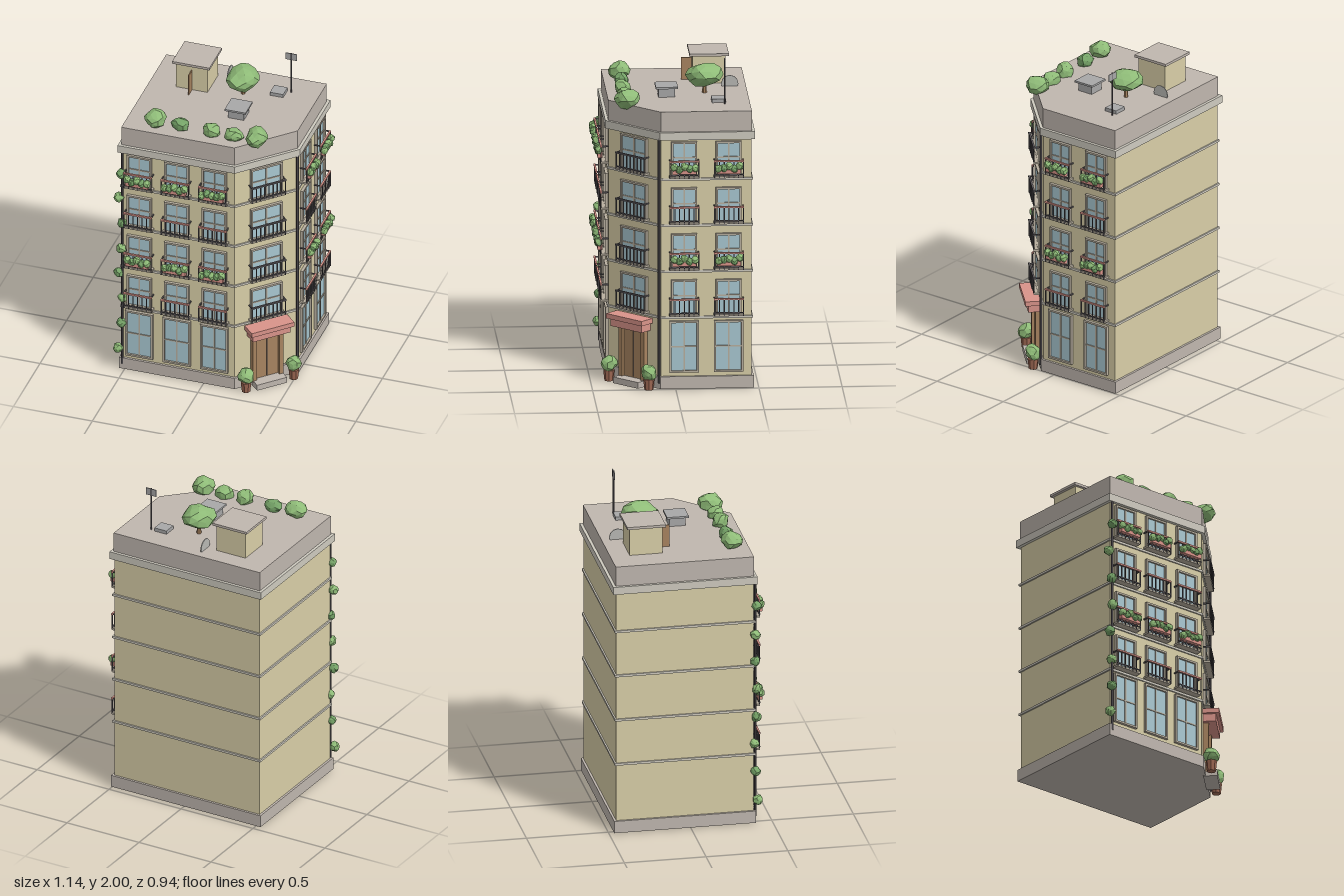
import * as THREE from 'three';

const mat = (color, extra = {}) => new THREE.MeshStandardMaterial({ color, flatShading: true, ...extra });
const M = {
  wall: mat(0xd9cfa8), stone: mat(0xc0b7af), trim: mat(0xcfcbc0), frame: mat(0xb9b0a0), glass: mat(0xa9c8d2),
  iron: mat(0x5c585c), red: mat(0xd9948a), wood: mat(0xa88460), leaf: mat(0x8fbc78), leafDark: mat(0x76a468),
  pot: mat(0xa06a55), metal: mat(0xa8a8a8), metalTwo: mat(0xb8b8b4, { side: THREE.DoubleSide }),
};

function add(parent, name, geo, material, x = 0, y = 0, z = 0) {
  const m = new THREE.Mesh(geo, material);
  m.name = name;
  m.position.set(x, y, z);
  parent.add(m);
  return m;
}
const box = (p, name, material, w, h, d, x, y, z) => add(p, name, new THREE.BoxGeometry(w, h, d), material, x, y, z);
const group = (p, name, x = 0, y = 0, z = 0, ry = 0) => {
  const g = new THREE.Group();
  g.name = name;
  g.position.set(x, y, z);
  g.rotation.y = ry;
  p.add(g);
  return g;
};

// Faceted foliage: icosahedron with each corner pushed in or out by a hash of its direction
function blob(p, name, material, x, y, z, rx, ry = rx, rz = rx, seed = 1) {
  const geo = new THREE.IcosahedronGeometry(1, 1), a = geo.attributes.position, v = new THREE.Vector3();
  for (let i = 0; i < a.count; i++) {
    v.fromBufferAttribute(a, i);
    const n = Math.sin(Math.round(v.x * 50) * 1.3 + Math.round(v.y * 50) * 2.1 + Math.round(v.z * 50) * 3.7 + seed * 5.1);
    v.multiplyScalar(0.98 + 0.11 * n);
    a.setXYZ(i, v.x * rx, v.y * ry, v.z * rz);
  }
  geo.computeVertexNormals();
  return add(p, name, geo, material, x, y, z);
}

// Corner-cut footprint, grown by d on every side and extruded from y0 to y1
const X0 = -0.52, X1 = 0.49, Z0 = -0.455, Z1 = 0.385, CX = 0.192, CZ = 0.087;
function storey(p, name, material, d, y0, y1) {
  const t = d * Math.tan(Math.PI / 8);
  const pts = [[X0 - d, Z0 - d], [X0 - d, Z1 + d], [CX + t, Z1 + d], [X1 + d, CZ + t], [X1 + d, Z0 - d]];
  const shape = new THREE.Shape(pts.map(([x, z]) => new THREE.Vector2(x, -z)));
  const geo = new THREE.ExtrudeGeometry(shape, { depth: y1 - y0, bevelEnabled: false });
  geo.rotateX(-Math.PI / 2);
  return add(p, name, geo, material, 0, y0, 0);
}

// Window on a facade: local +z points out of the wall, y is the bottom edge
function windowUnit(p, x, y, w, h, transom) {
  const g = group(p, 'window', x, y, 0), f = 0.012;
  box(g, 'glass', M.glass, w - f, h - f, 0.008, 0, h / 2, 0.002);
  for (const s of [-1, 1]) box(g, 'windowJamb', M.frame, f, h, 0.024, s * (w - f) / 2, h / 2, 0.006);
  for (const yy of [f / 2, h - f / 2]) box(g, 'windowHead', M.frame, w, f, 0.024, 0, yy, 0.006);
  box(g, 'mullion', M.frame, 0.009, h, 0.014, 0, h / 2, 0.004);
  box(g, 'transom', M.frame, w - f, 0.008, 0.014, 0, h * transom, 0.004);
}

// Railing with spindles, optional planter full of leaves
function balcony(p, x, y, w, railMat, planted, seed) {
  const g = group(p, 'balcony', x, y, 0), h = 0.105, out = 0.043;
  box(g, 'balconySlab', M.frame, w, 0.012, out, 0, 0.004, out / 2);
  box(g, 'topRail', railMat, w, 0.01, 0.011, 0, h, out);
  box(g, 'bottomRail', M.iron, w, 0.007, 0.007, 0, 0.02, out);
  for (const s of [-1, 1]) box(g, 'sideRail', M.iron, 0.007, 0.008, out, s * (w / 2 - 0.004), h, out / 2);
  const n = Math.round(w / 0.03);
  for (let i = 0; i <= n; i++)
    box(g, 'spindle', M.iron, 0.006, h, 0.006, (i / n - 0.5) * (w - 0.008), h / 2, out);
  if (!planted) return;
  box(g, 'planterBox', M.red, w * 0.8, 0.04, 0.028, 0, 0.05, out + 0.006);
  [-0.062, -0.03, 0, 0.03, 0.062].forEach((dx, i) =>
    blob(g, 'planterLeaves', i % 2 ? M.leafDark : M.leaf, dx, 0.068 + 0.01 * Math.sin(i * 2.4 + seed), 0.055,
      0.024, 0.025, 0.025, i + seed));
}

function facade(parent, name, x, z, ry, columns) {
  const g = group(parent, name, x, 0, z, ry);
  columns.forEach((cx, c) => {
    windowUnit(g, cx, 0.105, 0.175, 0.32, 0.5);
    for (let k = 0; k < 4; k++) {
      const y = 0.46 + 0.286 * k;
      windowUnit(g, cx, y, 0.155, 0.22, 0.55);
      balcony(g, cx, y, 0.18, M.red, k % 2 === 1, c + k * 3);
    }
  });
}

function entranceSide(parent) {
  const g = group(parent, 'cornerFacade', (X1 + CX) / 2, 0, (Z1 + CZ) / 2, Math.PI / 4);
  for (let k = 0; k < 4; k++) {
    const y = 0.46 + 0.286 * k;
    windowUnit(g, 0, y, 0.21, 0.22, 0.55);
    balcony(g, 0, y, 0.23, M.iron, false, k);
  }
  // Door with posts, stepped canopy and doorstep
  box(g, 'door', M.wood, 0.15, 0.31, 0.016, 0, 0.195, 0.008);
  box(g, 'doorSeam', M.iron, 0.003, 0.3, 0.004, 0, 0.195, 0.016);
  for (const s of [-1, 1]) box(g, 'doorPost', M.wood, 0.026, 0.32, 0.035, s * 0.088, 0.19, 0.016);
  box(g, 'canopyLower', M.red, 0.25, 0.05, 0.08, 0, 0.375, 0.04);
  box(g, 'canopyTop', M.red, 0.285, 0.03, 0.1, 0, 0.413, 0.05);
  box(g, 'doorstep', M.stone, 0.2, 0.038, 0.085, 0, 0.019, 0.0425);
  // Potted shrubs either side of the door
  for (const s of [-1, 1]) {
    const p = group(g, 'pottedShrub', s * 0.16, 0, 0.055);
    add(p, 'pot', new THREE.CylinderGeometry(0.034, 0.027, 0.066, 8), M.pot, 0, 0.033, 0);
    blob(p, 'shrub', M.leaf, 0, 0.105, 0, 0.05, 0.05, 0.05, s + 3);
  }
}

function roofItems(parent) {
  const r = group(parent, 'roofItems', 0, 1.72, 0);
  // Stair house with its door standing open
  box(r, 'stairHouse', M.wall, 0.2, 0.175, 0.2, -0.255, 0.0875, -0.24);
  box(r, 'stairHouseCap', M.stone, 0.236, 0.016, 0.236, -0.255, 0.182, -0.24);
  box(r, 'stairHouseDoor', M.wood, 0.007, 0.14, 0.065, -0.255, 0.07, -0.11);
  // Vent and hatch
  box(r, 'ventBody', M.metal, 0.1, 0.06, 0.1, 0.1, 0.03, 0.033);
  box(r, 'ventCap', M.metal, 0.133, 0.012, 0.133, 0.1, 0.062, 0.033);
  box(r, 'hatch', M.metal, 0.084, 0.024, 0.084, 0.252, 0.012, -0.272);
  // Antenna
  add(r, 'antennaPole', new THREE.CylinderGeometry(0.005, 0.005, 0.28, 6), M.iron, 0.32, 0.14, -0.305);
  box(r, 'antennaPanel', M.metal, 0.072, 0.045, 0.005, 0.321, 0.255, -0.305);
  // Upright dish
  const dish = add(r, 'dish', new THREE.CylinderGeometry(0.052, 0.052, 0.006, 12), M.metalTwo, -0.086, 0.018, -0.36);
  dish.rotation.z = Math.PI / 2;
  // Tree and row of bushes: x, y, z, rx, ry, rz
  add(r, 'treeTrunk', new THREE.CylinderGeometry(0.012, 0.014, 0.08, 6), M.wood, 0.05, 0.04, -0.2);
  [
    [0.05, 0.113, -0.2, 0.096, 0.073, 0.108], [-0.34, 0.045, 0.29, 0.066, 0.055, 0.065],
    [-0.185, 0.028, 0.285, 0.058, 0.042, 0.045], [0.015, 0.03, 0.288, 0.056, 0.05, 0.053],
    [0.157, 0.025, 0.284, 0.062, 0.045, 0.052], [0.3, 0.037, 0.28, 0.064, 0.062, 0.075],
  ].forEach((b, i) => blob(r, i ? 'roofBush' : 'treeCrown', i === 2 ? M.leafDark : M.leaf, ...b, i + 1));
}

export function createModel() {
  const root = new THREE.Group();
  root.name = 'cornerApartmentBlock';

  // Shell: plinth, walls, floor bands, cornice, parapet
  storey(root, 'plinth', M.stone, 0.014, 0.004, 0.08);
  storey(root, 'walls', M.wall, 0, 0.08, 1.56);
  for (let k = 0; k < 4; k++) storey(root, 'floorBand', M.trim, 0.009, 0.438 + 0.286 * k, 0.452 + 0.286 * k);
  storey(root, 'cornice', M.trim, 0.021, 1.55, 1.598);
  storey(root, 'parapet', M.stone, 0.003, 1.598, 1.722);

  facade(root, 'frontFacade', 0, Z1, 0, [-0.407, -0.17, 0.067]);
  facade(root, 'leftFacade', X1, 0, Math.PI / 2, [0.05, 0.318]);
  entranceSide(root);
  roofItems(root);

  // Drainpipes, one of them overgrown by a climber
  for (const [x, z] of [[-0.514, Z1 + 0.012], [X1 + 0.006, CZ + 0.014]])
    add(root, 'drainpipe', new THREE.CylinderGeometry(0.008, 0.008, 1.52, 6), M.iron, x, 0.8, z);
  for (let i = 0; i < 8; i++)
    blob(root, 'climberLeaves', i % 2 ? M.leafDark : M.leaf, -0.522 + 0.014 * Math.sin(i * 2.1 + 4.5), 0.155 + 0.178 * i,
      Z1 + 0.014 + 0.008 * Math.cos(i * 1.7), 0.031, 0.032, 0.031, i);
  return root;
}
